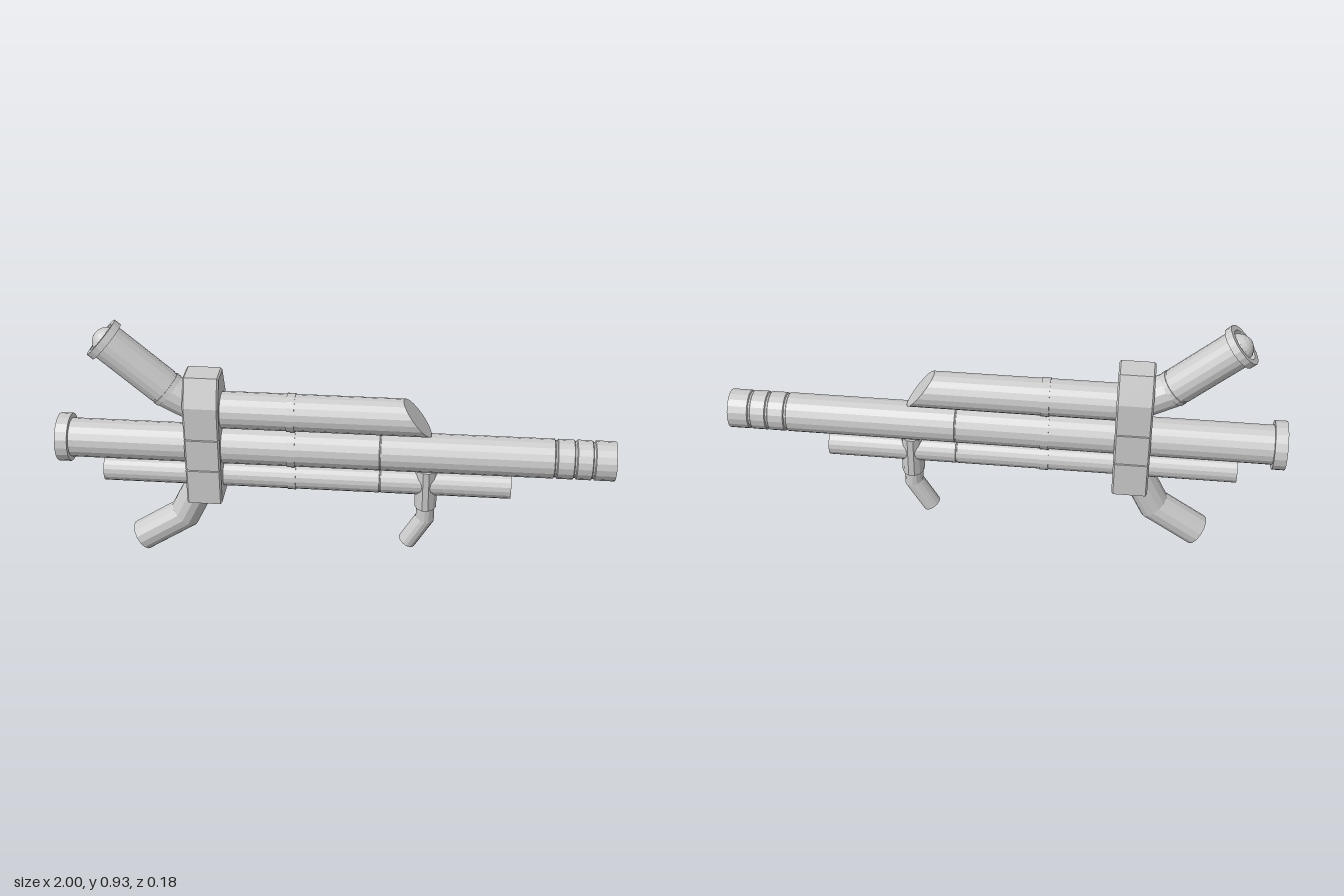
import * as THREE from 'three';

const material = new THREE.MeshStandardMaterial({ color: 0xcccccc, flatShading: true });
const SIDES = 18;

export function createModel() {
  const model = new THREE.Group();

  function add(name, geometry) {
    const mesh = new THREE.Mesh(geometry, material);
    mesh.name = name;
    model.add(mesh);
    return mesh;
  }

  // Turned part: profile of [distance along axis, radius], axis along +x
  function turned(name, x, y, profile, angle = 0) {
    const points = profile.map(([d, r]) => new THREE.Vector2(r, d));
    const geometry = new THREE.LatheGeometry(points, SIDES);
    geometry.rotateZ(-Math.PI / 2);
    const mesh = add(name, geometry);
    mesh.position.set(x, y, 0);
    mesh.rotation.z = angle;
    return mesh;
  }

  // Shallow groove cut into a profile
  const groove = (x, r, w = 0.006, depth = 0.005) =>
    [[x - w, r], [x - w / 2, r - depth], [x + w / 2, r - depth], [x + w, r]];

  // Raised band on a profile
  const band = (x0, x1, r, h = 0.003) => [[x0, r], [x0, r + h], [x1, r + h], [x1, r]];

  // Bent pipe with mitred joints, following points in the xy plane
  function bentPipe(name, path, radius, depth = radius) {
    const last = path.length - 1;
    const points = path.map(([x, y]) => new THREE.Vector2(x, y));
    const geometry = new THREE.CylinderGeometry(1, 1, 1, 14, last);
    const pos = geometry.attributes.position;
    const direction = i => points[i + 1].clone().sub(points[i]).normalize();
    for (let v = 0; v < pos.count; v++) {
      const i = Math.round((pos.getY(v) + 0.5) * last);
      const before = direction(Math.max(i - 1, 0));
      const after = direction(Math.min(i, last - 1));
      const t = before.clone().add(after).normalize();
      const r = pos.getX(v) * radius / t.dot(before);
      pos.setXYZ(v, points[i].x + t.y * r, points[i].y - t.x * r, pos.getZ(v) * depth);
    }
    geometry.computeVertexNormals();
    return add(name, geometry);
  }

  // Main barrel with rear cap, bands, muzzle grooves and open bore
  turned('mainBarrel', 0, 0.473, [
    [-1, 0], [-1, 0.088], [-0.955, 0.088], [-0.955, 0.071],
    ...band(-0.165, -0.135, 0.071),
    ...groove(0.17, 0.071, 0.003, 0.002),
    ...groove(0.79, 0.071), ...groove(0.858, 0.071), ...groove(0.922, 0.071),
    [1, 0.071], [1, 0.063], [0.7, 0.063], [0.7, 0],
  ]);

  // Lower tube
  turned('lowerTube', 0, 0.353, [
    [-0.84, 0], [-0.84, 0.048],
    ...band(-0.165, -0.135, 0.048),
    ...groove(0.17, 0.048, 0.003, 0.002),
    [0.64, 0.048], [0.64, 0],
  ]);

  // Upper tube with a slanted front end
  const upper = turned('upperTube', 0, 0.613, [
    [-0.48, 0], [-0.48, 0.067],
    ...band(-0.165, -0.135, 0.067),
    [0.3, 0.067], [0.3, 0],
  ]);
  const up = upper.geometry.attributes.position;
  for (let i = 0; i < up.count; i++) {
    if (up.getX(i) > 0.29) up.setX(i, 0.298 - 0.77 * up.getY(i));
  }
  upper.geometry.computeVertexNormals();

  // Receiver block: bevelled upright profile with a notch at each joint
  const half = [
    [0.082, 0.275], [0.082, 0.4], [0.076, 0.405], [0.082, 0.41],
    [0.082, 0.525], [0.076, 0.53], [0.082, 0.535], [0.082, 0.656], [0.042, 0.752],
  ];
  const outline = [...half, ...half.slice().reverse().map(([z, y]) => [-z, y])];
  const block = new THREE.ExtrudeGeometry(
    new THREE.Shape(outline.map(p => new THREE.Vector2(...p))),
    { depth: 0.116, bevelEnabled: true, bevelThickness: 0.006, bevelSize: 0.006, bevelSegments: 1 }
  );
  block.translate(0, 0, -0.058);
  block.rotateY(Math.PI / 2);
  add('receiverBlock', block).position.x = -0.463;

  // Sight: bent base plus turned eyepiece with a domed lens
  bentPipe('sightBase', [[-0.47, 0.62], [-0.585, 0.68], [-0.61, 0.702]], 0.064);
  turned('sight', -0.585, 0.68, [
    [0, 0], [0, 0.067], [0.018, 0.067], [0.018, 0.063], [0.026, 0.063], [0.026, 0.066],
    [0.278, 0.066], [0.278, 0.078], [0.305, 0.078], [0.305, 0.058], [0.285, 0.05],
    [0.305, 0.045], [0.32, 0.031], [0.328, 0.015], [0.33, 0],
  ], Math.atan2(0.656, -0.755));

  // Rear grip
  bentPipe('rearGrip', [[-0.475, 0.33], [-0.556, 0.168], [-0.722, 0.06]], 0.058, 0.06);

  // Front grip and the collar joining it to the lower tube
  const collar = new THREE.CylinderGeometry(0.041, 0.041, 0.158, 12);
  collar.rotateY(Math.PI / 12);
  collar.scale(1, 1, 1.27);
  add('frontGripCollar', collar).position.set(0.336, 0.335, 0);
  bentPipe('frontGrip', [[0.336, 0.3], [0.336, 0.2], [0.272, 0.093]], 0.034, 0.037);

  return model;
}
